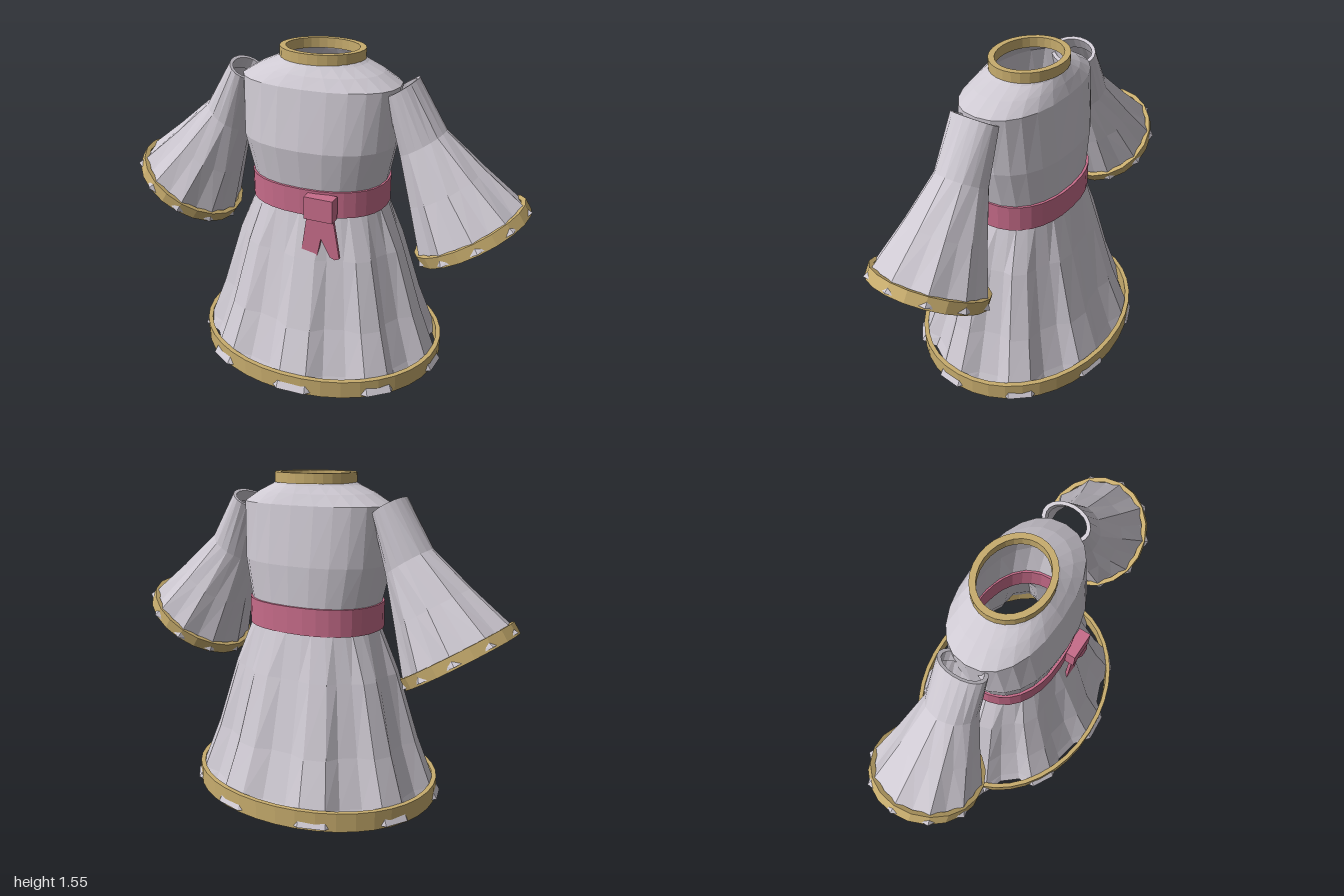
import * as THREE from 'three';

const RAD = Math.PI / 180;
const mat = (name, color) =>
  new THREE.MeshStandardMaterial({ name, color, flatShading: true, side: THREE.DoubleSide });

// Even angles round a ring, in degrees
const even = (n) => Array.from({ length: n }, (_, i) => (i * 360) / n);

// Squares an oval off a little when p is below 1
const soft = (v, p) => Math.sign(v) * Math.abs(v) ** p;

// Horizontal oval; factor gives each vertex its own radius for pleats
function oval(angles, y, rx, rz, { cx = 0, cz = 0, p = 1, factor = () => 1 } = {}) {
  return angles.map((a, i) => {
    const f = factor(i);
    return [cx + soft(Math.sin(a * RAD), p) * rx * f, y, cz + soft(Math.cos(a * RAD), p) * rz * f];
  });
}

// Skins a list of closed rings, ordered from bottom to top
function loft(rings) {
  const n = rings[0].length;
  const index = [];
  for (let r = 0; r < rings.length - 1; r++) {
    for (let i = 0; i < n; i++) {
      const a = r * n + i, b = r * n + ((i + 1) % n);
      index.push(a, b, b + n, a, b + n, a + n);
    }
  }
  const g = new THREE.BufferGeometry();
  g.setAttribute('position', new THREE.Float32BufferAttribute(rings.flat(2), 3));
  g.setIndex(index);
  g.computeVertexNormals();
  return g;
}

// Oval band with a rectangular section
function band(n, y0, y1, rx, rz, t, options) {
  const o = (y, d) => oval(even(n), y, rx - d, rz - d, options);
  return loft([o(y0, 0), o(y1, 0), o(y1, t), o(y0, t), o(y0, 0)]);
}

export function createModel() {
  const cloth = mat('greyCloth', 0xcec9d2);
  const gold = mat('goldTrim', 0xc8ad6e);
  const pink = mat('pinkSash', 0xc76c8a);

  const model = new THREE.Group();
  model.name = 'robe';
  const add = (parent, name, geometry, material) => {
    const m = new THREE.Mesh(geometry, material);
    m.name = name;
    parent.add(m);
    return m;
  };

  // Bodice: y, half width, half depth, centre z, squareness
  const bodice = [
    [0.84, 0.322, 0.24, 0, 0.87], [0.95, 0.327, 0.243, 0, 0.87], [1.14, 0.368, 0.258, 0.012, 0.87],
    [1.41, 0.378, 0.22, 0.005, 0.87], [1.46, 0.295, 0.192, 0, 0.92],
    [1.495, 0.215, 0.168, -0.005, 0.97], [1.515, 0.185, 0.156, -0.01, 1],
  ];
  add(model, 'bodice', loft(bodice.map(([y, rx, rz, cz, p]) => oval(even(24), y, rx, rz, { cz, p }))), cloth);

  // Collar
  add(model, 'collar', band(28, 1.503, 1.55, 0.2, 0.17, 0.028, { cz: -0.01 }), gold);

  // Skirt with nine pleats that deepen toward the hem: y, half width, half depth, valley factor, squareness
  const pleats = [];
  for (let k = 0; k < 9; k++) for (const d of [-6, 6, 14, 26]) pleats.push(5 + k * 40 + d);
  const skirt = [
    [0.014, 0.643, 0.527, 0.89, 0.97], [0.07, 0.61, 0.494, 0.9, 0.97], [0.29, 0.525, 0.408, 0.91, 0.96],
    [0.62, 0.42, 0.308, 0.94, 0.92], [0.84, 0.322, 0.24, 1, 0.87],
  ];
  add(model, 'skirt', loft(skirt.map(([y, rx, rz, v, p]) =>
    oval(pleats, y, rx, rz, { cz: -0.005, p, factor: (i) => (i % 4 < 2 ? 1 : v) }))), cloth);
  add(model, 'hemBand', band(40, 0, 0.09, 0.626, 0.511, 0.022, { cz: -0.008, p: 0.97 }), gold);

  // Sash, knot and two hanging tails
  add(model, 'sash', band(32, 0.828, 0.955, 0.336, 0.255, 0.02, { p: 0.87 }), pink);
  const knot = add(model, 'sashKnot', new THREE.BoxGeometry(0.14, 0.11, 0.06), pink);
  knot.position.set(0.11, 0.888, 0.27);
  const tails = [
    [[0.05, 0.85], [0.02, 0.655], [0.045, 0.64], [0.068, 0.61], [0.1, 0.645], [0.125, 0.77], [0.125, 0.85]],
    [[0.1, 0.85], [0.12, 0.74], [0.165, 0.655], [0.19, 0.645], [0.212, 0.655], [0.195, 0.76], [0.18, 0.85]],
  ];
  tails.forEach((pts, i) => {
    const shape = new THREE.Shape(pts.map(([x, y]) => new THREE.Vector2(x, y)));
    const g = new THREE.ExtrudeGeometry(shape, { depth: 0.015, bevelEnabled: false });
    add(model, 'sashTail' + (i + 1), g, pink).position.z = 0.272 + i * 0.004;
  });

  // Flared sleeves with ten sharp folds, built upright from the cuff and then tilted
  const sleeveRows = [
    // y, half width, half depth, centre x, valley factor
    [0.004, 0.294, 0.281, 0, 0.88], [0.045, 0.272, 0.258, 0, 0.91], [0.26, 0.197, 0.188, 0, 0.93],
    [0.49, 0.122, 0.122, 0.004, 0.98], [0.75, 0.08, 0.115, 0.047, 1],
    [0.75, 0.064, 0.097, 0.047, 1], [0.69, 0.066, 0.098, 0.04, 1],
  ];
  const sleeveGeometry = loft(sleeveRows.map(([y, rx, rz, cx, v]) =>
    oval(even(20), y, rx, rz, { cx, factor: (i) => (i % 2 ? 1 : v) })));
  const cuffGeometry = band(20, -0.006, 0.05, 0.282, 0.266, 0.022);
  for (const side of [1, -1]) {
    const half = new THREE.Group();
    half.name = side > 0 ? 'leftSleeve' : 'rightSleeve';
    half.scale.x = side;
    const arm = new THREE.Group();
    arm.name = 'sleeveTilt';
    arm.position.set(0.755, 0.755, 0);
    arm.rotation.z = 33 * RAD;
    add(arm, 'sleeve', sleeveGeometry, cloth);
    add(arm, 'cuffBand', cuffGeometry, gold);
    half.add(arm);
    model.add(half);
  }
  return model;
}
